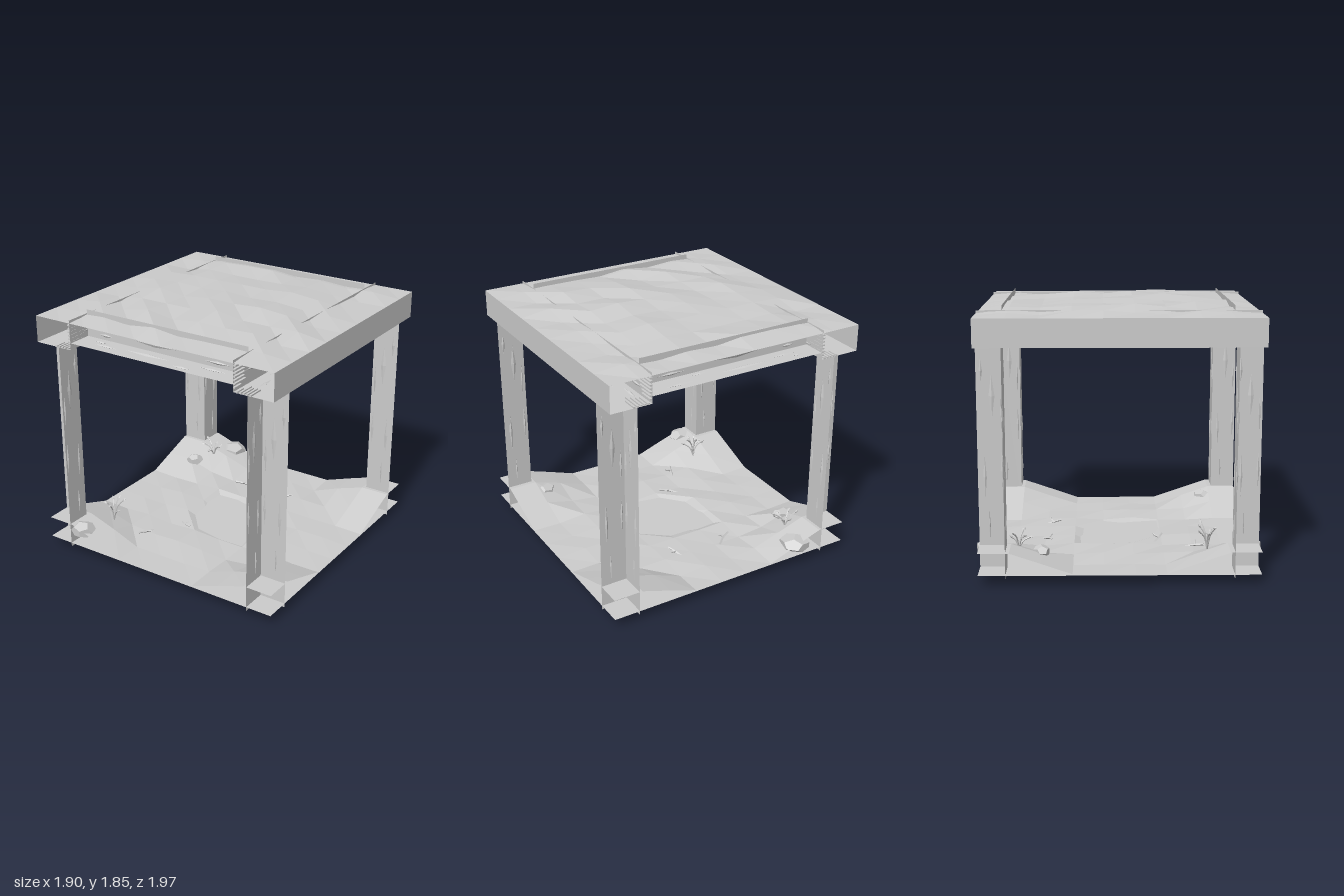
import * as THREE from 'three';

const ZC = 0.0125, W = 1.9, D = 1.895;
const mat = new THREE.MeshStandardMaterial({ color: 0xcccccc, flatShading: true, side: THREE.DoubleSide });

let seed = 7;
const rnd = (a = 0, b = 1) => {
  seed = (seed * 16807) % 2147483647;
  return a + (b - a) * seed / 2147483647;
};

function add(parent, name, geo, x = 0, y = 0, z = 0) {
  const m = new THREE.Mesh(geo, mat);
  m.name = name;
  m.position.set(x, y, z);
  parent.add(m);
  return m;
}

// Faceted ground sheet whose heights follow a rule
function sheet(parent, name, height) {
  const g = new THREE.PlaneGeometry(D, W, 9, 9).rotateX(-Math.PI / 2).rotateY(Math.PI / 2);
  const p = g.attributes.position;
  for (let i = 0; i < p.count; i++) p.setY(i, height(p.getX(i), p.getZ(i)));
  g.computeVertexNormals();
  return add(parent, name, g, 0, 0, ZC);
}

// Single-skin boards facing x, y or z; given by their centre and two sizes
const faceX = (parent, name, x, y, z, h, d) => add(parent, name, new THREE.PlaneGeometry(d, h).rotateY(Math.PI / 2), x, y, z);
const faceY = (parent, name, x, y, z, w, d) => add(parent, name, new THREE.PlaneGeometry(w, d).rotateX(-Math.PI / 2), x, y, z);
const faceZ = (parent, name, x, y, z, w, h) => add(parent, name, new THREE.PlaneGeometry(w, h), x, y, z);

// Slim diamond crack lying on a board; axis is the board's normal
function crack(parent, axis, x, y, z, len, wide, along) {
  const m = add(parent, 'crack', new THREE.OctahedronGeometry(1), x, y, z);
  const s = { x: wide, y: wide, z: wide };
  s[axis] = 0.008;
  s[along] = len;
  m.scale.set(s.x, s.y, s.z);
}

function rock(parent, x, y, z, sx, sy, sz, turn) {
  const m = add(parent, 'rock', new THREE.DodecahedronGeometry(1), x, y, z);
  m.scale.set(sx, sy, sz);
  m.rotation.y = turn;
}

function stem(parent, name, pts, r) {
  const curve = new THREE.CatmullRomCurve3(pts.map(p => new THREE.Vector3(...p)));
  add(parent, name, new THREE.TubeGeometry(curve, 5, r, 4));
}

// Tuft of bent stalks with leaf tips
function plant(parent, x, y, z, h, n) {
  const g = new THREE.Group();
  g.name = 'plant';
  g.position.set(x, y, z);
  for (let i = 0; i < n; i++) {
    const a = i / n * Math.PI * 2 + 0.4, r = rnd(0.05, 0.09), t = h * rnd(0.6, 1);
    const c = Math.cos(a) * r, s = Math.sin(a) * r;
    stem(g, 'stalk', [[0, 0, 0], [c * 0.4, t * 0.7, s * 0.4], [c, t, s]], 0.005);
    const leaf = add(g, 'leaf', new THREE.OctahedronGeometry(1), c, t, s);
    leaf.scale.set(0.022, 0.008, 0.014);
    leaf.rotation.set(0.4, -a, 0.5);
  }
  parent.add(g);
}

export function createModel() {
  const root = new THREE.Group();
  root.name = 'tunnelSegment';

  // Roof: low dome of facets, flat along the rim
  sheet(root, 'roof', (x, z) => {
    const dome = Math.max(0, 1 - (x / 0.95) ** 2) * Math.max(0, 1 - (z / 0.9475) ** 2);
    return 1.79 + 0.045 * dome + Math.min(1, dome * 3) * rnd(-0.022, 0.022);
  });

  // Floor: flat base, with rough earth rising to the four corners and a pit in the middle
  faceY(root, 'floorBase', 0, 0.075, ZC, W, D);
  sheet(root, 'floorEarth', (x, z) => {
    if (Math.abs(x) < 0.2 && Math.abs(z) < 0.2) return x * z > 0 ? 0 : 0.03;
    const d = Math.hypot(0.85 - Math.abs(x), 0.85 - Math.abs(z));
    const t = THREE.MathUtils.clamp(1 - (d - 0.16) / 0.36, 0, 1);
    const edge = Math.max(Math.abs(x), Math.abs(z)) > 0.9;
    return 0.085 + 0.145 * t * t * (3 - 2 * t) + (edge ? 0 : rnd(-0.008, 0.014) * (1 - t));
  });

  // Corner posts: two boards meeting at the inner edge, open to the outside
  const grain = [[-0.01, 0.43, 0.15, 0.02], [-0.07, 0.3, 0.12, 0.008], [0.045, -0.12, 0.15, 0.012],
    [-0.07, -0.08, 0.13, 0.01], [0.02, -0.45, 0.1, 0.006], [0.06, 0.6, 0.08, 0.012]];
  for (const sx of [-1, 1]) for (const [zIn, zMid] of [[0.78, 0.87], [-0.75, -0.8425]]) {
    const post = new THREE.Group();
    post.name = 'post';
    faceX(post, 'postSideBoard', sx * 0.76, 0.8225, zMid, 1.555, 2 * Math.abs(zMid - zIn));
    faceZ(post, 'postEndBoard', sx * 0.855, 0.8225, zIn, 0.19, 1.555);
    for (const [u, y, len, w] of grain) {
      crack(post, 'z', sx * 0.855 + u, 0.825 + y, zIn, len, w, 'y');
      crack(post, 'x', sx * 0.76, 0.825 + y, zMid - u, len, w, 'y');
    }
    root.add(post);
  }

  // Lengthwise beams, open at both ends, with splintered rims
  for (const sx of [-1, 1]) {
    const beam = new THREE.Group();
    beam.name = 'sideBeam';
    faceX(beam, 'beamOuterFace', sx * 0.95, 1.695, ZC, 0.19, D);
    faceX(beam, 'beamInnerFace', sx * 0.655, 1.705, ZC, 0.21, D);
    faceY(beam, 'beamUnderside', sx * 0.8025, 1.6, ZC, 0.295, D);
    for (const sz of [-1, 1]) for (let i = 0; i < 7; i++) {
      const l = rnd(0.06, 0.16), z = ZC + sz * (D / 2 - l / 2);
      add(beam, 'splinter', new THREE.BoxGeometry(0.018, 0.01, l), sx * 0.662, 1.63 + i * 0.024, z);
      if (i < 5) add(beam, 'splinter', new THREE.BoxGeometry(0.014, 0.012, l), sx * (0.68 + i * 0.025), 1.604, z);
    }
    for (let i = 0; i < 8; i++) {
      const z = -0.73 + i * 0.21;
      crack(beam, 'x', sx * 0.655, 1.66 + (i % 3) * 0.035, z, 0.08, 0.012, 'z');
      crack(beam, 'y', sx * (0.7 + (i % 3) * 0.05), 1.603, z, 0.08, 0.012, 'z');
    }
    root.add(beam);
  }

  // Cross beams: an upright board and an underside, open to the outside
  for (const [zIn, zMid] of [[0.78, 0.87], [-0.765, -0.85]]) {
    const beam = new THREE.Group();
    beam.name = 'crossBeam';
    faceZ(beam, 'crossUpright', 0, 1.745, zIn, 1.3, 0.19);
    faceY(beam, 'crossUnderside', 0, 1.65, zMid, 1.3, 2 * Math.abs(zMid - zIn));
    for (const [x, y, len, w] of [[-0.49, 1.68, 0.05, 0.01], [-0.41, 1.725, 0.09, 0.012], [-0.08, 1.7, 0.18, 0.018], [0.23, 1.755, 0.07, 0.013], [0.42, 1.68, 0.1, 0.011]]) {
      crack(beam, 'z', x, y, zIn, len, w, 'x');
      crack(beam, 'y', x, 1.653, zMid + (y - 1.71), len, w, 'x');
    }
    root.add(beam);
  }

  // Rocks on the corner mounds
  rock(root, -0.68, 0.19, 0.91, 0.09, 0.06, 0.085, 0.3);
  rock(root, -0.56, 0.15, -0.88, 0.11, 0.055, 0.115, 0.8);
  rock(root, -0.7, 0.165, -0.52, 0.07, 0.045, 0.06, 0.2);
  rock(root, 0.68, 0.17, 0.7, 0.085, 0.05, 0.07, 0.5);

  // Plants and fallen twigs
  plant(root, -0.63, 0.15, 0.62, 0.18, 7);
  plant(root, -0.62, 0.16, -0.68, 0.13, 6);
  for (const [x, z, a] of [[-0.2, 0.3, 0.5], [-0.38, 0.55, 1.9], [-0.2, -0.5, 2.6], [0.2, -0.48, 1.2]]) {
    const c = Math.cos(a) * 0.07, s = Math.sin(a) * 0.07;
    stem(root, 'twig', [[x - c, 0.08, z - s], [x, 0.1, z + 0.01], [x + c, 0.11, z + s]], 0.008);
    stem(root, 'twig', [[x, 0.1, z + 0.01], [x + s * 0.4, 0.115, z - c * 0.4], [x + s * 0.8, 0.12, z - c * 0.5]], 0.006);
  }
  return root;
}
